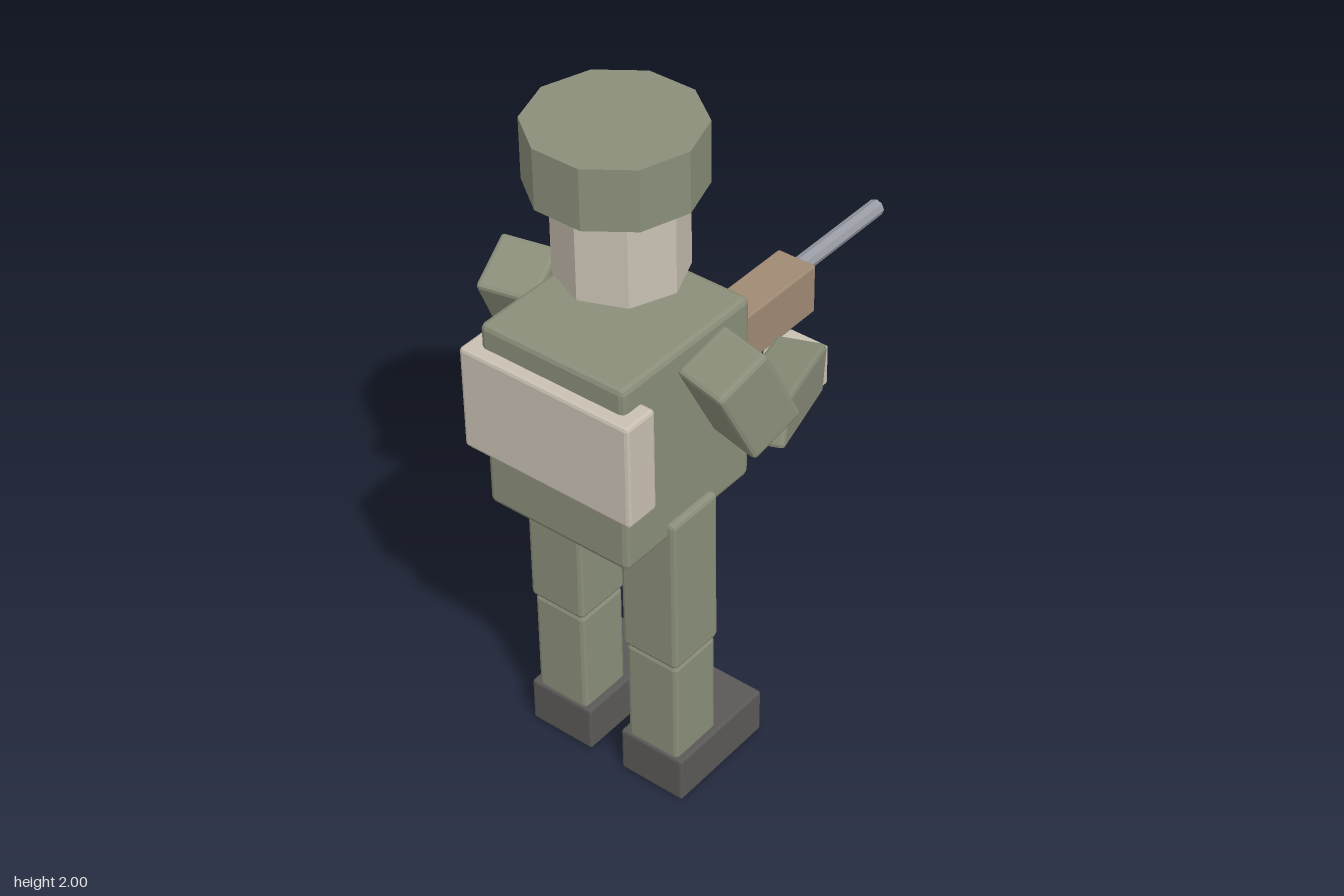
import * as THREE from 'three';
import { RoundedBoxGeometry } from 'three/addons/geometries/RoundedBoxGeometry.js';

const material = (name, color) => {
  const m = new THREE.MeshStandardMaterial({ color });
  m.name = name;
  return m;
};

const rad = THREE.MathUtils.degToRad;

export function createModel() {
  const olive = material('olive cloth', 0x8a8e79);
  const skin = material('pale skin', 0xc9c0b2);
  const brown = material('brown wood', 0xa08a75);
  const dark = material('dark boot', 0x5b5957);
  const steel = material('steel', 0x989ba3);

  const model = new THREE.Group();
  model.name = 'soldier';

  const add = (name, geometry, mat, x, y, z) => {
    const flat = geometry.index ? geometry.toNonIndexed() : geometry;
    flat.computeVertexNormals();
    const mesh = new THREE.Mesh(flat, mat);
    mesh.name = name;
    mesh.position.set(x, y, z);
    model.add(mesh);
    return mesh;
  };

  // box with chamfered edges
  const box = (name, mat, w, h, d, x, y, z, bevel = 0.012) =>
    add(name, new RoundedBoxGeometry(w, h, d, 1, bevel), mat, x, y, z);

  // body and back pack
  box('torso', olive, 0.49, 0.56, 0.45, -0.415, 1.18, 0, 0.015);
  box('backPack', skin, 0.106, 0.306, 0.53, -0.643, 1.237, 0, 0.01);

  // faceted head and cap
  add('head', new THREE.CylinderGeometry(0.17, 0.17, 0.26, 8), skin, -0.387, 1.7, 0);
  add('cap', new THREE.CylinderGeometry(0.225, 0.225, 0.17, 10), olive, -0.4, 1.915, 0);

  // limbs, mirrored across the body
  for (const [label, s] of [['near', 1], ['far', -1]]) {
    box(label + 'Thigh', olive, 0.178, 0.487, 0.178, -0.415, 0.707, s * 0.157);
    box(label + 'Shin', olive, 0.166, 0.37, 0.166, -0.413, 0.275, s * 0.157);
    box(label + 'Boot', dark, 0.348, 0.14, 0.206, -0.329, 0.07, s * 0.157, 0.007);

    const upper = box(label + 'UpperArm', olive, 0.165, 0.262, 0.165, -0.355, 1.328, s * 0.334);
    upper.rotation.set(0, rad(-12.7 * s), rad(26), 'YXZ');

    const fore = box(label + 'Forearm', olive, 0.41, 0.137, 0.137, -0.113, 1.157, s * 0.278);
    fore.rotation.set(0, rad(22 * s), rad(-16), 'YXZ');

    box(label + 'Hand', skin, 0.122, 0.122, 0.122, 0.055, 1.095, s * 0.2, 0.006);
  }

  // rifle
  box('rifleStock', brown, 0.5, 0.15, 0.122, 0.08, 1.125, 0, 0.005);
  const barrel = add('rifleBarrel', new THREE.CylinderGeometry(0.025, 0.025, 0.38, 8), steel, 0.503, 1.165, 0);
  barrel.rotation.z = -Math.PI / 2;

  return model;
}
